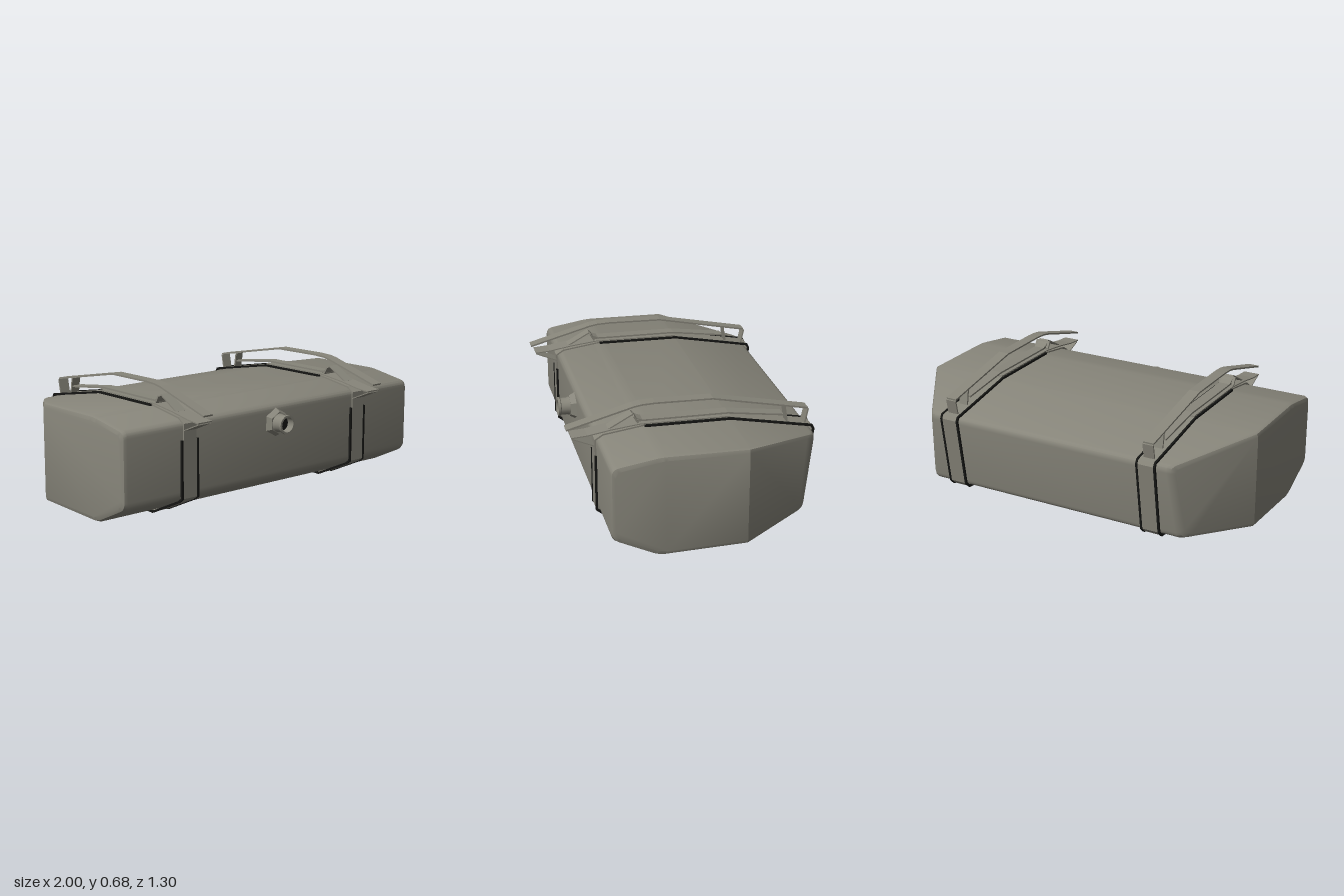
import * as THREE from 'three';
import { toCreasedNormals } from 'three/addons/utils/BufferGeometryUtils.js';
import { ConvexGeometry } from 'three/addons/geometries/ConvexGeometry.js';

const metal = new THREE.MeshStandardMaterial({ color: 0x87857a });
metal.name = 'grey metal';
const rubber = new THREE.MeshStandardMaterial({ color: 0x151614 });
rubber.name = 'dark rubber';

function addMesh(parent, name, geometry, material) {
  const mesh = new THREE.Mesh(geometry, material);
  mesh.name = name;
  parent.add(mesh);
  return mesh;
}

// Flat bar that follows a side path of [z, y] points, centred on x
function ribbon(path, width, thickness, x = 0) {
  const pts = path.map(([z, y]) => new THREE.Vector2(z, y));
  const normal = (a, b) => new THREE.Vector2(b.y - a.y, a.x - b.x).normalize();
  const far = pts.map((p, i) => {
    const n0 = normal(pts[Math.max(i - 1, 0)], pts[Math.max(i, 1)]);
    const last = pts.length - 1;
    const n1 = normal(pts[Math.min(i, last - 1)], pts[Math.min(i + 1, last)]);
    const n = n0.clone().add(n1).normalize();
    return p.clone().addScaledVector(n, thickness / Math.max(n.dot(n0), 0.5));
  });
  const shape = new THREE.Shape([...pts, ...far.reverse()]);
  const g = new THREE.ExtrudeGeometry(shape, { depth: width, bevelEnabled: false });
  return g.translate(0, 0, -width / 2).rotateY(-Math.PI / 2).translate(x, 0, 0);
}

// Tank: side profile with softened corners, tapering in plan behind z = -0.2
function tankGeometry() {
  const corners = [[0.495, 0.13], [0.26, 0.016], [-0.2, 0.026], [-0.572, 0.06],
    [-0.634, 0.472], [-0.2, 0.556], [0.25, 0.562], [0.495, 0.522]]
    .map(([z, y]) => new THREE.Vector2(z, y));
  const profile = [];
  corners.forEach((c, i) => {
    if (c.x === -0.2) { profile.push(c); return; }
    const prev = corners[(i + 7) % 8], next = corners[(i + 1) % 8];
    const a = c.clone().add(prev.clone().sub(c).setLength(0.035));
    const b = c.clone().add(next.clone().sub(c).setLength(0.035));
    profile.push(...new THREE.QuadraticBezierCurve(a, c, b).getPoints(4));
  });
  const halfWidth = z => (z > -0.2 ? 0.998 : 0.998 - (-0.2 - z) * 0.64);
  const points = [];
  for (const [inset, drop] of [[0, 0.025], [0.007, 0.007], [0.025, 0]]) {
    for (const p of profile) {
      const z = p.x === -0.2 ? p.x : p.x * (1 - inset / 0.57);
      const y = 0.29 + (p.y - 0.29) * (1 - inset / 0.27);
      for (const s of [-1, 1]) points.push(new THREE.Vector3(s * (halfWidth(z) - drop), y, z));
    }
  }
  return toCreasedNormals(new ConvexGeometry(points), 0.5);
}

// Strap, its rubber edges and the carrier bars above it
function strapAssembly() {
  const g = new THREE.Group();
  const loop = [[0.497, 0.43], [0.497, 0.13], [0.475, 0.113], [0.26, 0.013], [-0.2, 0.022],
    [-0.555, 0.056], [-0.58, 0.08], [-0.64, 0.46], [-0.632, 0.476], [-0.2, 0.558], [0.25, 0.564]];
  // Path runs clockwise as drawn, so the negative thickness builds outward
  addMesh(g, 'strap', ribbon(loop, 0.09, -0.007), metal);
  for (const s of [-1, 1]) addMesh(g, 'strapEdge', ribbon(loop, 0.011, -0.011, s * 0.05), rubber);
  addMesh(g, 'strapTongue',
    ribbon([[0.25, 0.564], [0.46, 0.534], [0.497, 0.51], [0.497, 0.43]], 0.08, -0.008), metal);

  // Upper carrier bar and its rear posts
  addMesh(g, 'upperBar', ribbon([[0.645, 0.57], [0.3, 0.664], [0.26, 0.671], [0.19, 0.674],
    [-0.11, 0.668], [-0.617, 0.567]], 0.06, 0.009), metal);
  addMesh(g, 'rearPost', ribbon([[-0.617, 0.567], [-0.6, 0.485]], 0.06, 0.008), metal);
  addMesh(g, 'innerPost', ribbon([[-0.49, 0.59], [-0.504, 0.505]], 0.05, 0.01), metal);

  // Lower carrier bar with its front lip, wedge and strut
  addMesh(g, 'lowerBar', ribbon([[0.29, 0.588], [0.2, 0.586], [-0.19, 0.582],
    [-0.485, 0.542]], 0.06, 0.009), metal);
  addMesh(g, 'lowerBarTip', ribbon([[0.622, 0.533], [0.54, 0.539], [0.42, 0.559],
    [0.27, 0.576], [-0.2, 0.57]], 0.09, 0.006), metal);
  addMesh(g, 'wedgeFront', ribbon([[0.43, 0.557], [0.31, 0.623], [0.29, 0.602],
    [0.25, 0.586]], 0.06, 0.007), metal);
  addMesh(g, 'wedgeBack', ribbon([[0.308, 0.622], [0.285, 0.583]], 0.09, 0.008), metal);
  addMesh(g, 'frontStrut', ribbon([[0.62, 0.527], [0.5, 0.475]], 0.08, 0.005), metal);
  return g;
}

// Filler neck with a hexagonal flange and an open mouth
function fillerNeck() {
  const g = new THREE.Group();
  addMesh(g, 'flange', toCreasedNormals(
    new THREE.CylinderGeometry(0.06, 0.077, 0.03, 6).translate(0, 0.015, 0), 0.4), metal);
  const section = [[0.052, 0.025], [0.046, 0.045], [0.046, 0.078], [0.051, 0.082],
    [0.051, 0.094], [0.04, 0.094], [0.038, 0.045]].map(([r, y]) => new THREE.Vector2(r, y));
  addMesh(g, 'neck', toCreasedNormals(new THREE.LatheGeometry(section, 16), 0.5), metal);
  addMesh(g, 'mouth', new THREE.CylinderGeometry(0.039, 0.039, 0.006, 16)
    .translate(0, 0.05, 0), rubber);
  g.rotation.x = Math.PI / 2;
  g.position.set(-0.008, 0.43, 0.495);
  return g;
}

export function createModel() {
  const model = new THREE.Group();
  model.name = 'tank';
  addMesh(model, 'tankBody', tankGeometry(), metal);
  for (const [name, x] of [['leftStrap', 0.593], ['rightStrap', -0.593]]) {
    const strap = strapAssembly();
    strap.name = name;
    strap.position.x = x;
    model.add(strap);
  }
  const neck = fillerNeck();
  neck.name = 'fillerNeck';
  model.add(neck);
  return model;
}
